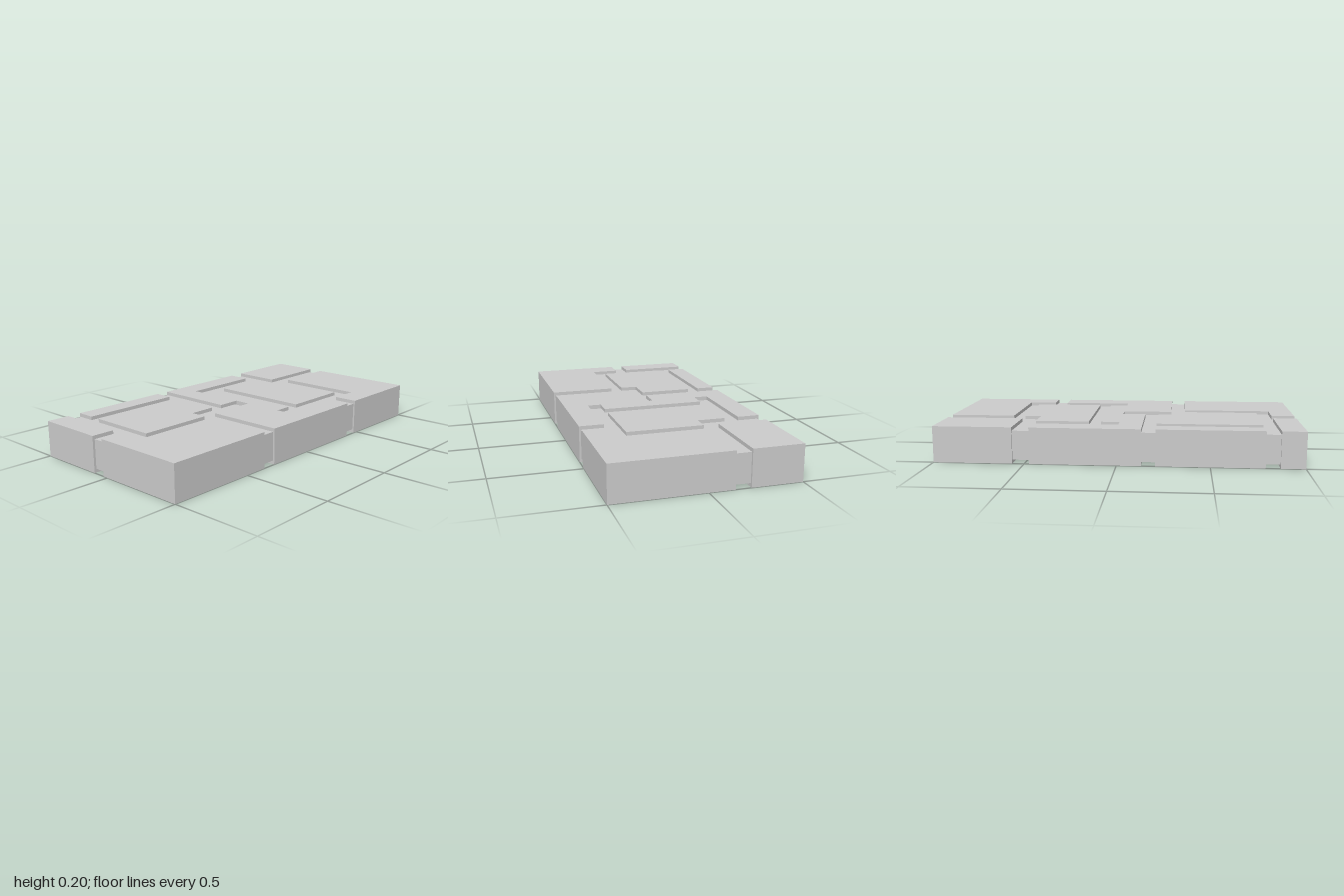
import * as THREE from 'three';

const HEIGHT = 0.2;

// Outlines of the paving stones as [x, z] corners seen from above
const rect = (x0, z0, x1, z1) => [[x0, z0], [x1, z0], [x1, z1], [x0, z1]];
const stones = {
  cornerStone: rect(-1, -0.5, -0.868, -0.105),
  backStripStone: rect(-0.79, -0.5, -0.208, -0.395),
  leftInnerStone: [[-0.79, -0.33], [-0.208, -0.33], [-0.208, -0.03],
    [-0.365, -0.03], [-0.365, 0.065], [-0.79, 0.065]],
  frontLeftStone: [[-1, -0.03], [-0.868, -0.03], [-0.868, 0.132],
    [-0.365, 0.132], [-0.365, 0.5], [-1, 0.5]],
  centreStone: [[-0.132, -0.5], [0.472, -0.5], [0.472, -0.375], [0, -0.375],
    [0, -0.295], [0.103, -0.295], [0.103, 0.288], [0, 0.288], [0, 0.365],
    [0.395, 0.365], [0.395, 0.5], [-0.283, 0.5], [-0.283, 0.065],
    [0, 0.065], [0, -0.03], [-0.132, -0.03]],
  rightInnerStone: [[0.172, -0.295], [0.472, -0.295], [0.472, -0.138],
    [0.565, -0.138], [0.565, 0.288], [0.172, 0.288]],
  backRightStone: rect(0.565, -0.5, 1, -0.222),
  frontRightStone: [[0.632, -0.138], [1, -0.138], [1, 0.5],
    [0.472, 0.5], [0.472, 0.365], [0.632, 0.365]],
};

export function createModel() {
  const group = new THREE.Group();
  group.name = 'pavingSlab';
  const material = new THREE.MeshStandardMaterial({ color: 0xcccccc });

  // Stones: full-height prisms
  for (const [name, outline] of Object.entries(stones)) {
    const shape = new THREE.Shape(outline.map(([x, z]) => new THREE.Vector2(x, -z)));
    const geometry = new THREE.ExtrudeGeometry(shape, { depth: HEIGHT, bevelEnabled: false });
    geometry.rotateX(-Math.PI / 2);
    const stone = new THREE.Mesh(geometry, material);
    stone.name = name;
    group.add(stone);
  }

  // Mortar: two recessed beds with a narrow slit between them
  for (const side of [-1, 1]) {
    const mortar = new THREE.Mesh(new THREE.BoxGeometry(0.975, 0.16, 0.98), material);
    mortar.position.set(side * 0.5, HEIGHT / 2, 0);
    mortar.name = side < 0 ? 'rightMortar' : 'leftMortar';
    group.add(mortar);
  }
  return group;
}
